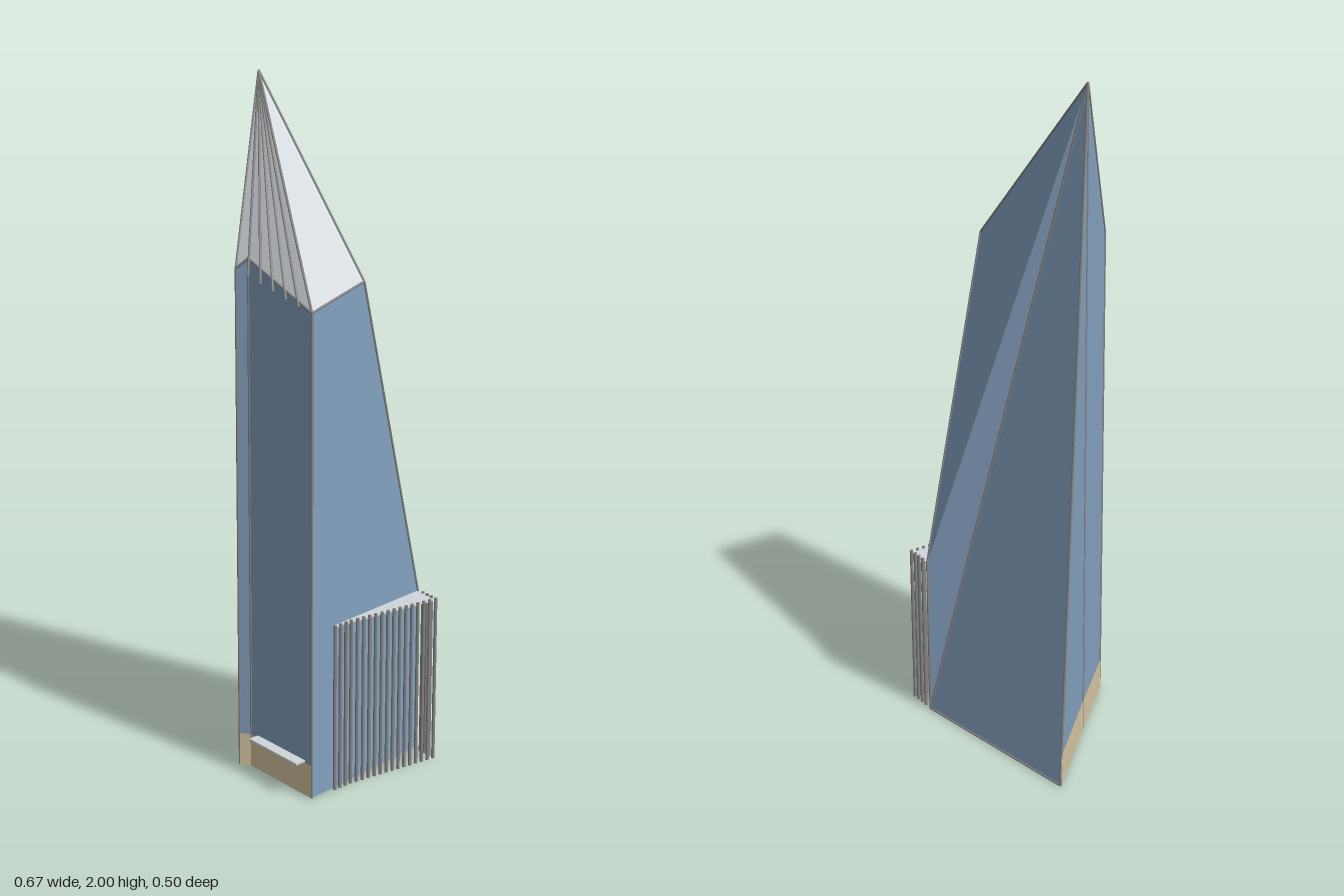
import * as THREE from 'three';

const material = (name, color, side = THREE.FrontSide) => {
  const m = new THREE.MeshStandardMaterial({ color, side });
  m.name = name;
  return m;
};
const V = (x, y, z) => new THREE.Vector3(x, y, z);

// Flat polygons, each a convex loop of corners, joined in one faceted mesh
function facets(name, mat, polygons) {
  const points = [];
  for (const p of polygons)
    for (let i = 1; i < p.length - 1; i++) points.push(p[0], p[i], p[i + 1]);
  const geometry = new THREE.BufferGeometry().setFromPoints(points);
  geometry.computeVertexNormals();
  const mesh = new THREE.Mesh(geometry, mat);
  mesh.name = name;
  return mesh;
}

// Straight round bar between two points
function bar(name, mat, a, b, radius) {
  const dir = b.clone().sub(a);
  const mesh = new THREE.Mesh(new THREE.CylinderGeometry(radius, radius, dir.length(), 8), mat);
  mesh.position.copy(a).add(b).multiplyScalar(0.5);
  mesh.quaternion.setFromUnitVectors(V(0, 1, 0), dir.normalize());
  mesh.name = name;
  return mesh;
}

// Thin horizontal plate from an outline of [x, z] pairs
function plate(name, mat, outline, y, thickness) {
  const shape = new THREE.Shape(outline.map(([x, z]) => new THREE.Vector2(x, -z)));
  const geometry = new THREE.ExtrudeGeometry(shape, { depth: thickness, bevelEnabled: false });
  geometry.rotateX(-Math.PI / 2);
  const mesh = new THREE.Mesh(geometry, mat);
  mesh.position.y = y;
  mesh.name = name;
  return mesh;
}

export function createModel() {
  const glass = material('blue glass', 0x84a2c0, THREE.DoubleSide);
  const roofing = material('pale grey panels', 0xd0d5da, THREE.DoubleSide);
  const stone = material('tan stone', 0xd8c7a3, THREE.DoubleSide);
  const metal = material('grey metal', 0x858585);
  const model = new THREE.Group();
  model.name = 'tower';

  // Corners at the ground and at the top of the walls
  const backRight = V(-0.333, 0, -0.248), backLeft = V(0.24, 0, -0.238);
  const frontLeft = V(0.276, 0, 0.217), notch = V(0, 0, 0.2);
  const frontRight = V(-0.03, 0, 0.219), fold = V(-0.16, 0, 0.015);
  const apex = V(-0.16, 1.997, 0.015), ridgeEnd = V(0.26, 1.47, 0.01);
  const backLeftTop = V(0.24, 0.5, -0.238), frontLeftTop = V(0.274, 1.42, 0.217);
  const notchTop = V(0, 1.52, 0.2), frontRightTop = V(-0.03, 1.49, 0.219);

  // Glass walls, open at the bottom
  model.add(facets('glassWalls', glass, [
    [frontLeft, backLeft, backLeftTop, ridgeEnd, frontLeftTop],
    [notch, frontLeft, frontLeftTop, notchTop],
    [frontRight, notch, notchTop, frontRightTop],
    [backRight, fold, apex],
    [fold, frontRight, frontRightTop, apex],
    [backLeft, backRight, apex],
    [backLeftTop, backLeft, apex],
    [ridgeEnd, backLeftTop, apex],
  ]));

  // Sloping crown
  model.add(facets('crownRoof', roofing, [
    [apex, frontRightTop, notchTop],
    [apex, notchTop, frontLeftTop],
    [apex, frontLeftTop, ridgeEnd],
  ]));

  // Metal trim along the edges
  const trim = new THREE.Group();
  trim.name = 'edgeTrim';
  const edges = [
    [backRight, apex], [fold, apex], [backLeft, apex], [apex, ridgeEnd],
    [apex, frontLeftTop], [apex, frontRightTop], [frontRightTop, notchTop],
    [notchTop, frontLeftTop], [frontLeftTop, ridgeEnd], [ridgeEnd, backLeftTop],
    [backLeftTop, backLeft], [frontLeft, frontLeftTop], [frontRight, frontRightTop],
    [notch, notchTop], [backRight, backLeft],
  ];
  for (const [a, b] of edges) trim.add(bar('edgeBar', metal, a, b, 0.0035));
  model.add(trim);

  // Ribs fanning out from the peak and just past the front eave
  const ribs = new THREE.Group();
  ribs.name = 'crownRibs';
  for (let i = 0; i < 5; i++)
    ribs.add(bar('rib', metal, apex, V(0.022 + 0.051 * i, 1.475 - 0.012 * i, 0.221), 0.0035));
  model.add(ribs);

  // Stone base band, just proud of the front and right walls
  const path = [backRight, fold, frontRight, notch, frontLeft];
  const band = [];
  for (let i = 0; i < path.length - 1; i++) {
    const a = path[i], b = path[i + 1];
    const out = V(-(b.z - a.z), 0, b.x - a.x).normalize().multiplyScalar(0.003);
    const p = a.clone().add(out), q = b.clone().add(out);
    band.push([p, q, q.clone().setY(0.1), p.clone().setY(0.1)]);
  }
  model.add(facets('stoneBase', stone, band));

  // Entrance canopy
  model.add(plate('entranceCanopy', roofing,
    [[0.03, 0.2], [0.03, 0.235], [0.245, 0.249], [0.245, 0.214]], 0.1, 0.006));

  // Side annex: flat roof on a screen of upright fins
  model.add(plate('annexRoof', roofing,
    [[0.24, -0.238], [0.268, 0.13], [0.279, 0.135], [0.281, 0.07], [0.325, -0.225]], 0.496, 0.004));
  const fins = new THREE.Group();
  fins.name = 'annexFins';
  const addFins = (a, b, count) => {
    for (let i = 0; i < count; i++) {
      const p = a.clone().lerp(b, i / count);
      fins.add(bar('fin', metal, p, p.clone().setY(0.505), 0.005));
    }
  };
  addFins(V(0.28, 0, 0.132), V(0.281, 0, 0.07), 3);
  addFins(V(0.281, 0, 0.07), V(0.325, 0, -0.225), 14);
  addFins(V(0.325, 0, -0.225), V(0.245, 0, -0.237), 4);
  model.add(fins);

  return model;
}
